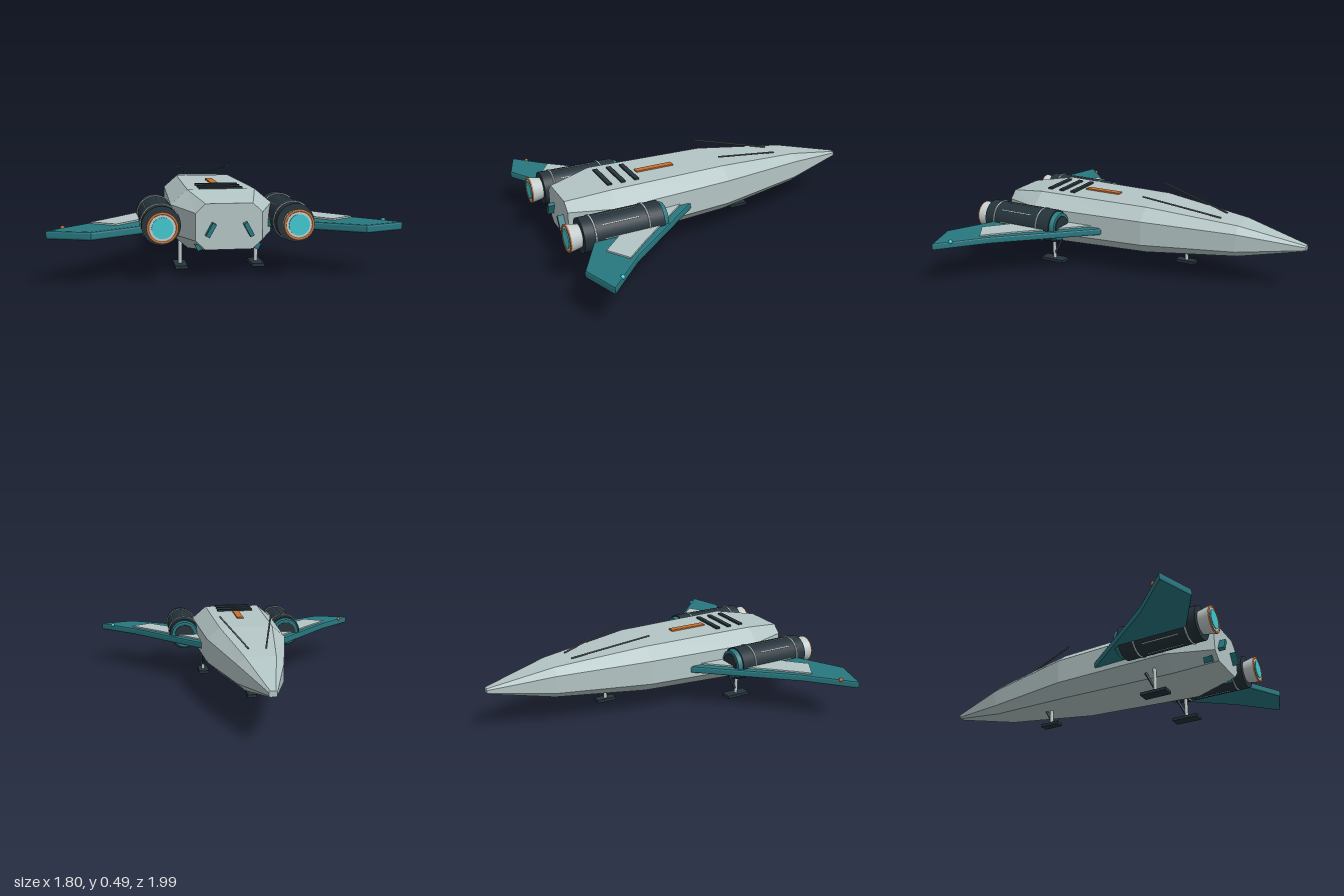
import * as THREE from 'three';

const mat = (name, color) => Object.assign(new THREE.MeshStandardMaterial({ color }), { name });

export function createModel() {
  const M = {
    hull: mat('hull grey', 0xb4c5c5),
    teal: mat('teal', 0x287880),
    dark: mat('dark slate', 0x25333b),
    metal: mat('light metal', 0xc3cccd),
    copper: mat('copper orange', 0xc8702f),
    glow: mat('cyan glow', 0x40c8d0),
    grey: mat('mid grey', 0x5a6466),
  };
  const root = new THREE.Group();
  root.name = 'spacecraft';
  const add = (parent, name, geo, material, x = 0, y = 0, z = 0) => {
    const m = new THREE.Mesh(geo, material);
    m.name = name;
    m.position.set(x, y, z);
    parent.add(m);
    return m;
  };
  const box = (w, h, d) => new THREE.BoxGeometry(w, h, d);
  // Cylinder along z: rBack is the radius at +z
  const tubeZ = (rBack, rFront, len, open = false) =>
    new THREE.CylinderGeometry(rBack, rFront, len, 32, 1, open).rotateX(Math.PI / 2);
  // Thin rod between two points
  const rod = (parent, name, a, b, r, material) => {
    const A = new THREE.Vector3(...a), B = new THREE.Vector3(...b);
    const m = add(parent, name, new THREE.CylinderGeometry(r, r, A.distanceTo(B), 8), material);
    m.position.copy(A).add(B).multiplyScalar(0.5);
    m.quaternion.setFromUnitVectors(new THREE.Vector3(0, 1, 0), B.sub(A).normalize());
    return m;
  };

  // Fuselage: octagonal sections lofted from nose to tail
  // [z, half width, flat half width, top, upper shoulder, lower shoulder, bottom]
  const sections = [
    [-1, 0.022, 0.014, 0.294, 0.286, 0.27, 0.262],
    [-0.62, 0.128, 0.085, 0.375, 0.335, 0.23, 0.19],
    [-0.07, 0.238, 0.16, 0.428, 0.36, 0.215, 0.146],
    [0.65, 0.27, 0.18, 0.432, 0.355, 0.2, 0.12],
    [0.9, 0.17, 0.12, 0.392, 0.345, 0.205, 0.158],
  ].map(([z, w, f, t, u, l, b]) =>
    [[f, t], [-f, t], [-w, u], [-w, l], [-f, b], [f, b], [w, l], [w, u]].map(([x, y]) => [x, y, z]));
  const pos = [];
  const tri = (a, b, c) => pos.push(...a, ...b, ...c);
  for (let s = 0; s < sections.length - 1; s++) {
    const A = sections[s], B = sections[s + 1];
    for (let i = 0; i < 8; i++) {
      const j = (i + 1) % 8;
      tri(A[i], B[j], B[i]);
      tri(A[i], A[j], B[j]);
    }
  }
  const nose = sections[0], tail = sections[sections.length - 1];
  for (let i = 1; i < 7; i++) {
    tri(nose[0], nose[i + 1], nose[i]);
    tri(tail[0], tail[i], tail[i + 1]);
  }
  const hullGeo = new THREE.BufferGeometry();
  hullGeo.setAttribute('position', new THREE.Float32BufferAttribute(pos, 3));
  hullGeo.computeVertexNormals();
  add(root, 'fuselage', hullGeo, M.hull);

  // Dorsal stripe and vents
  add(root, 'dorsalStripe', box(0.04, 0.009, 0.235), M.copper, 0, 0.434, 0.307);
  for (const z of [0.465, 0.547, 0.63]) add(root, 'dorsalVent', box(0.234, 0.02, 0.027), M.dark, 0, 0.432, z);

  // Horizontal plate from [x, z] points, spanning y0 to y1
  const plate = (pts, y0, y1, bevel) => {
    const shape = new THREE.Shape(pts.map(([x, z]) => new THREE.Vector2(x, -z)));
    const geo = new THREE.ExtrudeGeometry(shape, {
      depth: y1 - y0 - 2 * bevel, bevelEnabled: bevel > 0, bevelSize: bevel,
      bevelThickness: bevel, bevelOffset: -bevel, bevelSegments: 2,
    });
    return geo.rotateX(-Math.PI / 2).translate(0, y0 + bevel, 0);
  };
  const wing = [[0.18, 0.11], [0.25, 0.19], [0.67, 0.7], [0.9, 0.92], [0.685, 0.992], [0.43, 0.85], [0.18, 0.71]];
  const panel = [[0.2, 0.2], [0.27, 0.28], [0.56, 0.615], [0.685, 0.75], [0.56, 0.83], [0.43, 0.7], [0.2, 0.5]];

  for (const s of [1, -1]) {
    const label = s > 0 ? 'left' : 'right';
    const flip = (pts) => pts.map(([x, z]) => [s * x, z]);

    // Wing with inset panel and tip light
    add(root, label + 'Wing', plate(flip(wing), 0.238, 0.281, 0.01), M.teal);
    add(root, label + 'WingPanel', plate(flip(panel), 0.28, 0.2895, 0), M.hull);
    add(root, label + 'TipLight', new THREE.SphereGeometry(0.012, 12, 8), s > 0 ? M.glow : M.copper, s * 0.823, 0.279, 0.85);

    // Engine, built along its own z axis
    const e = new THREE.Group();
    e.name = label + 'Engine';
    e.position.set(s * 0.341, 0.287, 0);
    root.add(e);
    add(e, 'engineBody', tubeZ(0.098, 0.098, 0.46), M.dark, 0, 0, 0.67);
    add(e, 'intakeRing', tubeZ(0.09, 0.083, 0.03), M.teal, 0, 0, 0.427);
    add(e, 'intakeCore', tubeZ(0.065, 0.065, 0.02), M.dark, 0, 0, 0.415);
    for (const z of [0.53, 0.836])
      add(e, 'engineBand', new THREE.TorusGeometry(0.098, 0.005, 8, 32), M.metal, 0, 0, z);
    for (let i = 0; i < 8; i++) {
      const a = (i * Math.PI) / 4;
      const seam = add(e, 'engineSeam', box(0.004, 0.004, 0.21), M.metal, -Math.sin(a) * 0.098, Math.cos(a) * 0.098, 0.685);
      seam.rotation.z = a;
    }
    add(e, 'nozzle', tubeZ(0.079, 0.064, 0.072), M.metal, 0, 0, 0.934);
    add(e, 'nozzleRim', new THREE.TorusGeometry(0.072, 0.007, 8, 32), M.copper, 0, 0, 0.967);
    add(e, 'nozzleGlow', tubeZ(0.053, 0.053, 0.008), M.glow, 0, 0, 0.97);

    // Tail fins
    const fin = add(root, label + 'TailFin', box(0.022, 0.075, 0.07), M.teal, s * 0.096, 0.262, 0.9);
    fin.rotation.z = s * 0.5;
    const low = add(root, label + 'LowerTailFin', box(0.022, 0.035, 0.05), M.teal, s * 0.152, 0.167, 0.85);
    low.rotation.z = -s * 0.5;

    // Antenna
    rod(root, label + 'Antenna', [s * 0.05, 0.395, -0.5], [s * 0.155, 0.488, -0.045], 0.005, M.grey);
  }

  // Landing gear: leg, diagonal brace and foot
  const gear = (name, x, z, foot, top, w, d) => {
    const g = new THREE.Group();
    g.name = name;
    g.position.set(x, foot, z);
    root.add(g);
    add(g, 'foot', box(w, 0.018, d), M.dark, 0, 0.009, 0);
    rod(g, 'leg', [0, 0.01, 0], [0, top - foot, 0], 0.011, M.metal);
    rod(g, 'brace', [0, 0.05, -0.008], [0, 0.145, -0.055], 0.008, M.dark);
  };
  gear('leftMainGear', 0.21, 0.553, 0, 0.2, 0.068, 0.155);
  gear('rightMainGear', -0.21, 0.553, 0, 0.2, 0.068, 0.155);
  gear('noseGear', 0, -0.267, 0.058, 0.2, 0.052, 0.12);

  return root;
}
